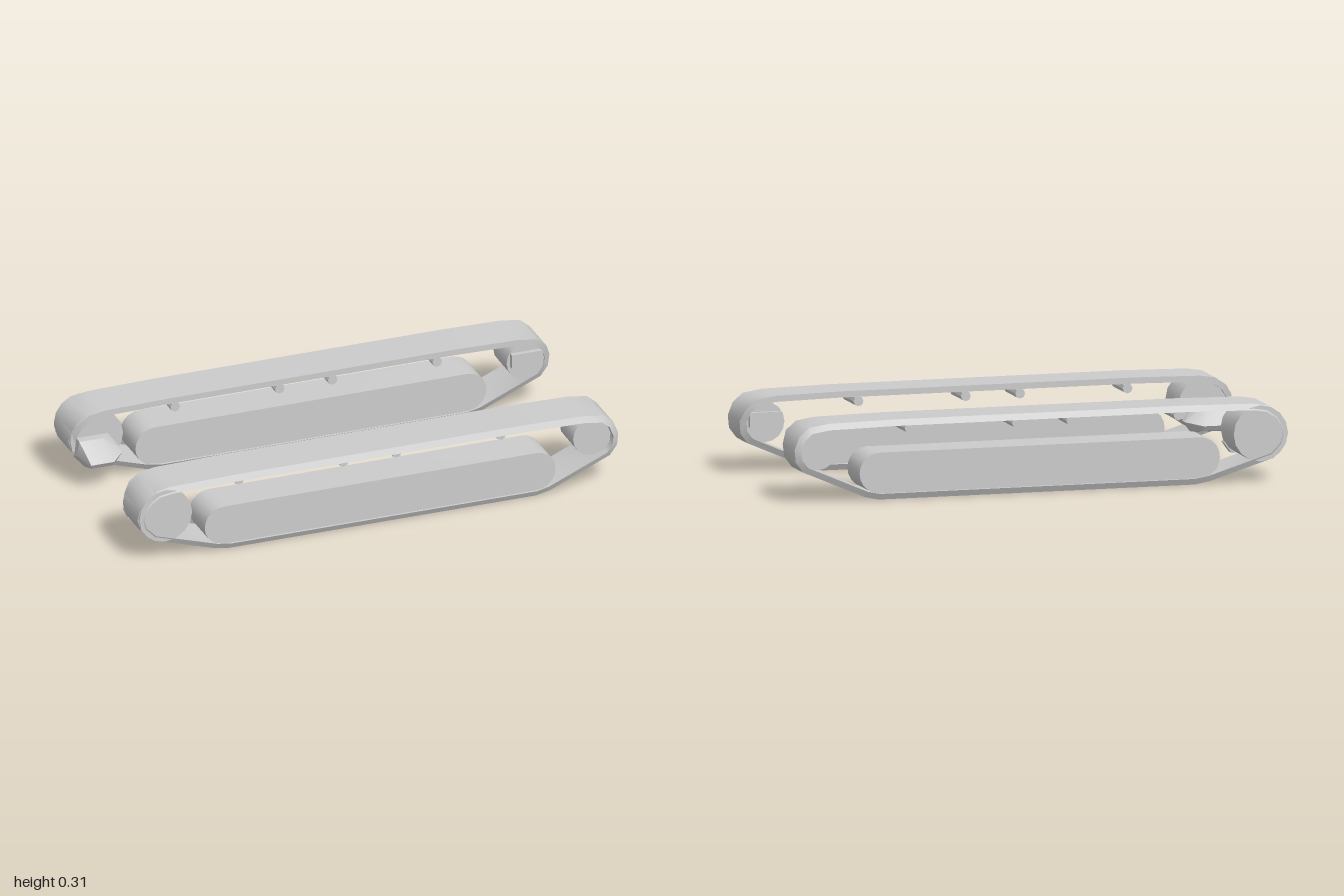
import * as THREE from 'three';
import { toCreasedNormals } from 'three/addons/utils/BufferGeometryUtils.js';
import { ConvexGeometry } from 'three/addons/geometries/ConvexGeometry.js';

const material = new THREE.MeshStandardMaterial({ color: 0xcccccc });

function add(group, name, geometry, x = 0, y = 0, z = 0) {
  const mesh = new THREE.Mesh(toCreasedNormals(geometry, 0.6), material);
  mesh.name = name;
  mesh.position.set(x, y, z);
  group.add(mesh);
  return mesh;
}

// Cylinder lying along z between two depths
function wheel(group, name, x, y, radius, z0, z1, sides) {
  const g = new THREE.CylinderGeometry(radius, radius, z1 - z0, sides);
  g.rotateX(Math.PI / 2);
  return add(group, name, g, x, y, (z0 + z1) / 2);
}

// Closed belt: a bevelled section swept around a counter-clockwise outline.
// The upper run is a little wider on its inner side than the lower run.
function beltGeometry(outline, thickness) {
  const pts = outline.map(([x, y]) => new THREE.Vector2(x, y));
  const n = pts.length, positions = [], index = [];
  const edgeNormal = (a, b) => new THREE.Vector2(b.y - a.y, a.x - b.x).normalize();
  pts.forEach((p, i) => {
    const n0 = edgeNormal(pts[(i + n - 1) % n], p);
    const n1 = edgeNormal(p, pts[(i + 1) % n]);
    const miter = n0.clone().add(n1).multiplyScalar(thickness / (1 + n0.dot(n1)));
    const q = p.clone().sub(miter);
    const upper = THREE.MathUtils.clamp((p.y - 0.2) / 0.06, 0, 1);
    const outerZ = THREE.MathUtils.lerp(0.295, 0.266, upper);
    const innerZ = THREE.MathUtils.lerp(0.281, 0.266, upper);
    positions.push(p.x, p.y, outerZ, p.x, p.y, 0.45, q.x, q.y, 0.463, q.x, q.y, innerZ);
  });
  for (let i = 0; i < n; i++) {
    for (let k = 0; k < 4; k++) {
      const a = i * 4 + k, b = i * 4 + (k + 1) % 4;
      const c = ((i + 1) % n) * 4 + k, d = ((i + 1) % n) * 4 + (k + 1) % 4;
      index.push(a, c, b, b, c, d);
    }
  }
  const g = new THREE.BufferGeometry();
  g.setAttribute('position', new THREE.Float32BufferAttribute(positions, 3));
  g.setIndex(index);
  return g;
}

function createTrack() {
  const track = new THREE.Group();

  // Belt around all wheels
  const outline = [
    [-0.68, 0.01], [-0.62, 0], [0.66, 0], [0.715, 0.012], [0.965, 0.12],
    [0.995, 0.16], [1, 0.21], [0.98, 0.26], [0.94, 0.295], [0.86, 0.307],
    [0.6, 0.312], [-0.6, 0.312], [-0.86, 0.307], [-0.92, 0.297], [-0.965, 0.265],
    [-0.99, 0.225], [-1, 0.185], [-0.985, 0.135], [-0.94, 0.09],
  ];
  add(track, 'belt', beltGeometry(outline, 0.024));

  // Long rounded housing on the lower run
  const r = 0.08, shape = new THREE.Shape();
  shape.absarc(0.658, 0.105, r, -Math.PI / 2, Math.PI / 2, false);
  shape.absarc(-0.642, 0.105, r, Math.PI / 2, Math.PI * 1.5, false);
  const housing = new THREE.ExtrudeGeometry(shape, { depth: 0.165, bevelEnabled: false, curveSegments: 5 });
  add(track, 'lowerHousing', housing, 0, 0, 0.29);

  // Drive wheel and idler at the ends
  wheel(track, 'driveWheel', -0.886, 0.19, 0.11, 0.283, 0.46, 16);
  wheel(track, 'idlerWheel', 0.9, 0.203, 0.08, 0.285, 0.43, 16);
  add(track, 'idlerBracket', new THREE.BoxGeometry(0.13, 0.058, 0.024), 0.9, 0.215, 0.278);

  // Small return rollers
  for (const x of [-0.565, -0.13, 0.09, 0.525]) {
    wheel(track, 'returnRoller', x, 0.27, 0.02, 0.268, 0.42, 8);
  }

  // Faceted final drive pointing inwards
  const corners = [
    [-0.98, 0.12, 0.29], [-0.97, 0.2, 0.285], [-0.84, 0.2, 0.285], [-0.79, 0.13, 0.285],
    [-0.95, 0.09, 0.285], [-0.82, 0.09, 0.285], [-0.982, 0.14, 0.25], [-0.79, 0.13, 0.248],
    [-0.972, 0.2, 0.247], [-0.875, 0.2, 0.247], [-0.945, 0.12, 0.187], [-0.85, 0.12, 0.187],
    [-0.94, 0.1, 0.2], [-0.85, 0.1, 0.2], [-0.95, 0.09, 0.245], [-0.82, 0.09, 0.245],
  ].map((c) => new THREE.Vector3(...c));
  add(track, 'finalDrive', new ConvexGeometry(corners));

  return track;
}

export function createModel() {
  const model = new THREE.Group();
  model.name = 'trackPair';
  const front = createTrack();
  front.name = 'frontTrack';
  const back = createTrack();
  back.name = 'backTrack';
  back.scale.z = -1;
  model.add(front, back);
  return model;
}
